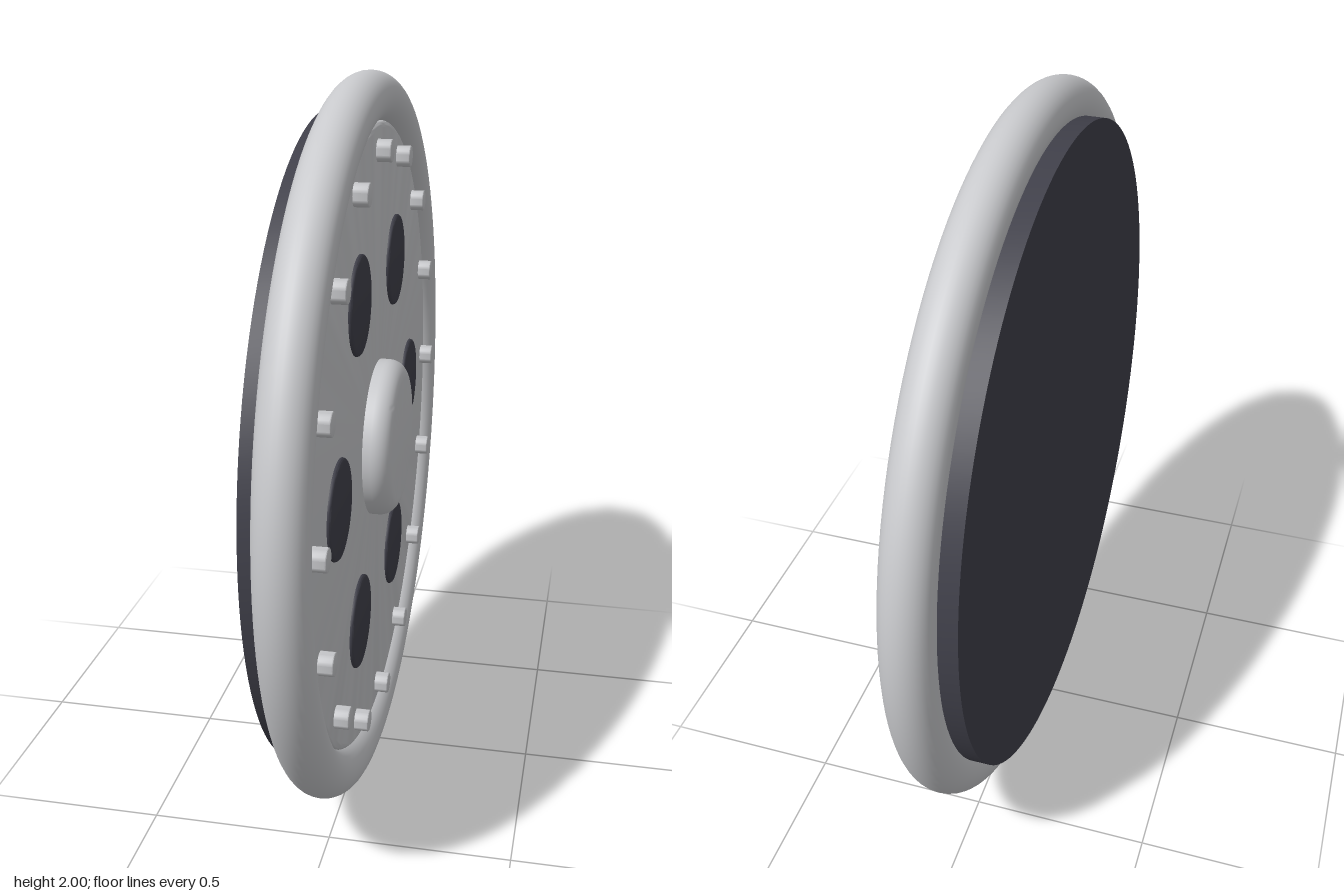
import * as THREE from 'three';
import { toCreasedNormals } from 'three/addons/utils/BufferGeometryUtils.js';

const lightMetal = new THREE.MeshStandardMaterial({ color: 0xc8c9cc });
lightMetal.name = 'lightMetal';
const darkMetal = new THREE.MeshStandardMaterial({ color: 0x40404a });
darkMetal.name = 'darkMetal';

// Disc along the x axis from x0 to x1, with a rounded outer edge on the +x side
function disc(name, radius, x0, x1, fillet, material, segments = 96) {
  const steps = fillet > 0.015 ? 8 : 3;
  const profile = [new THREE.Vector2(0, x0), new THREE.Vector2(radius, x0)];
  for (let i = 0; i <= steps; i++) {
    const a = (i / steps) * Math.PI / 2;
    profile.push(new THREE.Vector2(
      radius - fillet + fillet * Math.cos(a),
      x1 - fillet + fillet * Math.sin(a)));
  }
  profile.push(new THREE.Vector2(0, x1));
  const geometry = toCreasedNormals(new THREE.LatheGeometry(profile, segments), 0.7);
  geometry.rotateZ(-Math.PI / 2);
  const mesh = new THREE.Mesh(geometry, material);
  mesh.name = name;
  return mesh;
}

// Places copies of a part evenly on a circle in the disc plane
function ring(name, count, radius, makePart) {
  const group = new THREE.Group();
  group.name = name;
  for (let i = 0; i < count; i++) {
    const a = (i / count) * Math.PI * 2;
    const part = makePart();
    part.position.set(0, radius * Math.sin(a), radius * Math.cos(a));
    group.add(part);
  }
  return group;
}

export function createModel() {
  const model = new THREE.Group();
  model.name = 'roundPlate';
  const body = new THREE.Group();
  body.name = 'body';
  body.position.y = 1;
  model.add(body);

  // Rounded outer rim
  const rim = new THREE.Mesh(new THREE.TorusGeometry(0.933, 0.067, 32, 128), lightMetal);
  rim.name = 'rim';
  rim.rotation.y = Math.PI / 2;
  body.add(rim);

  // Front plate, dark backing and central boss
  body.add(disc('facePlate', 0.872, -0.04, 0.037, 0.02, lightMetal, 128));
  body.add(disc('backing', 0.9, -0.11, -0.03, 0, darkMetal, 128));
  body.add(disc('hub', 0.22, 0, 0.11, 0.05, lightMetal));

  // Dark round inserts and edge bolts
  body.add(ring('inserts', 6, 0.52, () => disc('insert', 0.13, 0.02, 0.047, 0.008, darkMetal, 48)));
  body.add(ring('bolts', 16, 0.8, () => disc('bolt', 0.03, 0.02, 0.076, 0.003, lightMetal, 20)));

  return model;
}
